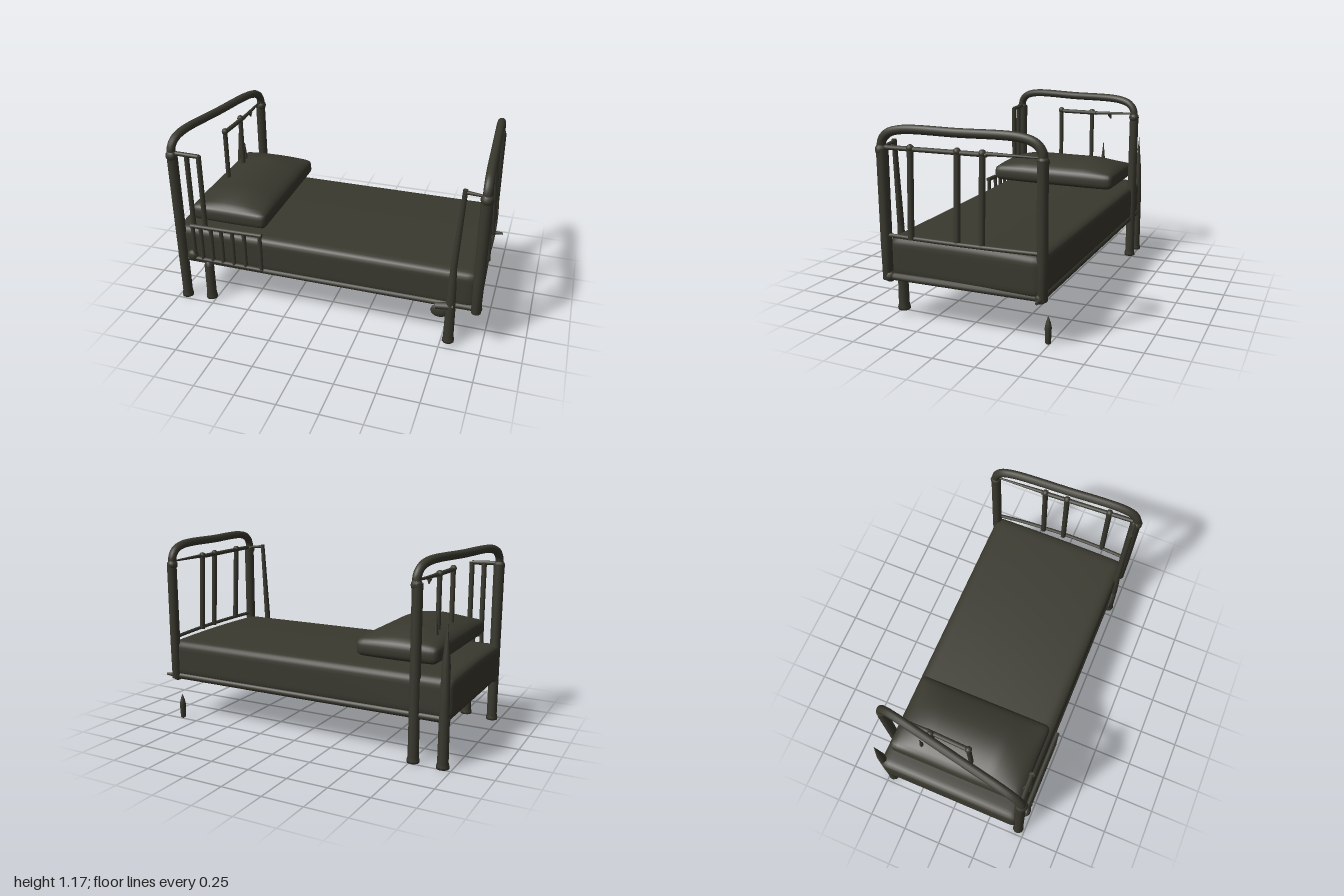
import * as THREE from 'three';
import { mergeVertices } from 'three/addons/utils/BufferGeometryUtils.js';

const V = (x, y, z) => new THREE.Vector3(x, y, z);
const { clamp, lerp, smoothstep } = THREE.MathUtils;

// Soft block: a box with rounded edges, its points then moved by reshape(point)
function softBlock(w, h, d, radius, segments, reshape) {
  const box = new THREE.BoxGeometry(w, h, d, ...segments);
  box.deleteAttribute('normal');
  box.deleteAttribute('uv');
  const geometry = mergeVertices(box);
  const pos = geometry.attributes.position;
  const p = V(0, 0, 0), core = V(0, 0, 0);
  const inner = (v, size) => clamp(v, radius - size / 2, size / 2 - radius);
  for (let i = 0; i < pos.count; i++) {
    p.fromBufferAttribute(pos, i);
    core.set(inner(p.x, w), inner(p.y, h), inner(p.z, d));
    p.sub(core).setLength(radius).add(core);
    reshape(p);
    pos.setXYZ(i, p.x, p.y, p.z);
  }
  geometry.computeVertexNormals();
  return geometry;
}

export function createModel() {
  const model = new THREE.Group();
  model.name = 'bed';
  const paint = new THREE.MeshStandardMaterial({ color: 0x3a392f });
  paint.name = 'dark olive';

  const add = (name, geometry, parent = model) => {
    const mesh = new THREE.Mesh(geometry, paint);
    mesh.name = name;
    parent.add(mesh);
    return mesh;
  };

  // Straight round bar from a to b, tapering from ra to rb
  const rod = (name, a, b, ra, rb = ra, parent = model) => {
    const dir = b.clone().sub(a);
    const mesh = add(name, new THREE.CylinderGeometry(rb, ra, dir.length(), 10), parent);
    mesh.position.copy(a).add(b).multiplyScalar(0.5);
    mesh.quaternion.setFromUnitVectors(V(0, 1, 0), dir.normalize());
    return mesh;
  };

  const knob = (name, p, r, parent = model) => {
    const mesh = add(name, new THREE.SphereGeometry(r, 10, 8), parent);
    mesh.position.copy(p);
    return mesh;
  };

  // Turned bar from [radius, height] pairs, standing at x, z
  const turned = (name, x, z, profile) => {
    const mesh = add(name, new THREE.LatheGeometry(profile.map(([r, y]) => new THREE.Vector2(r, y)), 10));
    mesh.position.set(x, 0, z);
    return mesh;
  };

  const footProfile = (y) => [[0, y], [0.037, y], [0.037, y + 0.015], [0.032, y + 0.035]];

  // Mattress with a faint crown across its width
  const mattress = add('mattress', softBlock(1.93, 0.24, 0.94, 0.045, [64, 12, 32], (p) => {
    p.y += smoothstep(p.y, 0, 0.12) * 0.01 * (1 - (p.z / 0.47) ** 2);
  }));
  mattress.position.set(-0.025, 0.398, -0.016);

  // Pillow: blunt edges, full crown and a nearly flat underside
  const pillow = add('pillow', softBlock(0.505, 0.1, 0.875, 0.035, [20, 6, 32], (p) => {
    const u = Math.min(1, Math.abs(p.x) / 0.2525), v = Math.min(1, Math.abs(p.z) / 0.4375);
    const crown = (1 - u * u) * Math.min(1, 1.15 * (1 - v * v * v));
    p.y += crown * (p.y > 0 ? 0.066 : 0.02) * (p.y / 0.05);
  }));
  pillow.position.set(-0.63, 0.622, -0.008);

  // Arched end frames: posts joined by a bent top tube
  const archEnd = (name, xFront, xBack) => {
    const profile = [[0.46, 1.02], [0.455, 1.07], [0.42, 1.112], [0.34, 1.137],
      [0, 1.14], [-0.36, 1.137], [-0.44, 1.112], [-0.475, 1.07], [-0.48, 1.02]];
    const points = profile.map(([z, y]) => V(lerp(xFront, xBack, (0.46 - z) / 0.94), y, z));
    add(name, new THREE.TubeGeometry(new THREE.CatmullRomCurve3(points, false, 'centripetal'), 64, 0.026, 10));
    knob(name + 'FrontJoint', points[0], 0.037);
    knob(name + 'BackJoint', points[8], 0.034);
  };
  archEnd('headArch', -0.95, -0.765);
  archEnd('footArch', 0.95, 0.905);

  // Main posts
  turned('headFrontPost', -0.95, 0.455, [...footProfile(0), [0.033, 0.5], [0.034, 1.03]]);
  turned('headBackPost', -0.77, -0.48, [...footProfile(0.005), [0.031, 0.5], [0.031, 1.03]]);
  turned('headInnerLeg', -0.775, 0.45, [...footProfile(0.015), [0.031, 0.26], [0.02, 0.3], [0, 0.3]]);
  turned('footFrontPost', 0.95, 0.455, [[0, 0.27], [0.03, 0.27], [0.033, 0.5], [0.034, 1.03]]);
  turned('footBackPost', 0.91, -0.48, [[0, 0.27], [0.03, 0.27], [0.032, 0.5], [0.031, 1.03]]);

  // Broken, tapering posts
  turned('headSpikedPost', -0.945, -0.475, [...footProfile(0), [0.03, 0.35], [0.024, 0.6], [0, 0.85]]);
  turned('footSpikedPost', 0.8, 0.455, [...footProfile(0.03), [0.03, 0.25], [0.026, 0.42], [0.016, 0.6]]);
  rod('footSpikedPostTop', V(0.8, 0.55, 0.455), V(0.83, 1.06, 0.455), 0.02, 0.014);
  turned('looseLegPiece', 0.86, -0.495, [[0, 0], [0.016, 0.01], [0.02, 0.1], [0.014, 0.13], [0, 0.17]]);
  rod('pillowSpike', V(-0.8, 0.68, -0.25), V(-0.8, 0.825, -0.25), 0.016, 0.001);

  // Foot panel rails and bars
  const footX = (z) => 0.93 + z * 0.05;
  const footRails = new THREE.Group();
  footRails.name = 'footRails';
  model.add(footRails);
  rod('upperRail', V(0.95, 1.035, 0.45), V(footX(-0.17), 1.035, -0.17), 0.014, 0.014, footRails);
  rod('upperRailTorn', V(footX(-0.17), 1.04, -0.17), V(0.91, 1.04, -0.47), 0.012, 0.005, footRails);
  const lowerRail = new THREE.QuadraticBezierCurve3(V(0.955, 0.535, 0.45), V(0.985, 0.54, 0), V(0.93, 0.535, -0.46));
  add('lowerRail', new THREE.TubeGeometry(lowerRail, 16, 0.012, 8), footRails);
  for (const z of [0.28, 0, -0.145]) {
    rod('footBar', V(footX(z) + 0.025, 0.53, z), V(footX(z), 1.04, z), 0.018, 0.018, footRails);
    knob('footBarJoint', V(footX(z), 1.04, z), 0.022, footRails);
  }
  rod('footRailSliver', V(0.83, 1.045, 0.455), V(0.95, 1.035, 0.455), 0.012, 0.007, footRails);

  // Head panel rails and bars
  const headRails = new THREE.Group();
  headRails.name = 'headRails';
  model.add(headRails);
  rod('upperRail', V(-0.78, 1.035, 0.08), V(-0.77, 1.035, -0.2), 0.014, 0.014, headRails);
  rod('upperRailTorn', V(-0.77, 1.035, -0.2), V(-0.77, 1.045, -0.47), 0.012, 0.007, headRails);
  rod('tornTip', V(-0.77, 1.03, -0.3), V(-0.77, 1.0, -0.31), 0.016, 0.003, headRails);
  for (const z of [0.07, -0.165]) {
    rod('headBar', V(-0.78, 0.66, z), V(-0.78, 1.04, z), 0.015, 0.015, headRails);
    knob('headBarJoint', V(-0.78, 1.04, z), 0.021, headRails);
  }
  rod('sideRail', V(-0.95, 1.035, 0.455), V(-0.775, 1.03, 0.45), 0.014, 0.014, headRails);
  for (const x of [-0.855, -0.775]) {
    rod('sideBar', V(x, 0.55, 0.45), V(x, 1.035, 0.45), 0.016, 0.016, headRails);
  }

  // Base rails around the underside
  const corners = [V(-0.95, 0.29, 0.44), V(0.95, 0.29, 0.44), V(0.91, 0.285, -0.47), V(-0.945, 0.285, -0.47)];
  corners.forEach((c, i) => {
    rod('baseRail', c, corners[(i + 1) % 4], 0.022);
    knob('baseJoint', c, 0.034);
  });

  // Side guard by the pillow
  const guard = new THREE.Group();
  guard.name = 'sideGuard';
  model.add(guard);
  rod('guardTop', V(-0.86, 0.555, 0.478), V(-0.38, 0.565, 0.478), 0.014, 0.014, guard);
  rod('guardBottom', V(-0.88, 0.32, 0.478), V(-0.39, 0.315, 0.478), 0.014, 0.014, guard);
  for (const x of [-0.85, -0.795, -0.725, -0.655, -0.58, -0.5, -0.395]) {
    rod('guardBar', V(x, 0.315, 0.478), V(x, 0.56, 0.478), 0.013, 0.013, guard);
  }
  knob('guardHinge', V(-0.87, 0.335, 0.475), 0.038, guard).scale.z = 0.7;

  // Bent brackets at the foot end
  const bracket = add('footBracket', new THREE.IcosahedronGeometry(0.05, 1));
  bracket.scale.set(1.1, 0.9, 0.4);
  bracket.position.set(0.735, 0.24, 0.46);
  rod('bracketArm', V(0.71, 0.275, 0.46), V(0.82, 0.29, 0.46), 0.024);
  rod('backSpur', V(0.9, 0.285, -0.475), V(0.99, 0.285, -0.48), 0.018, 0.008);
  return model;
}
